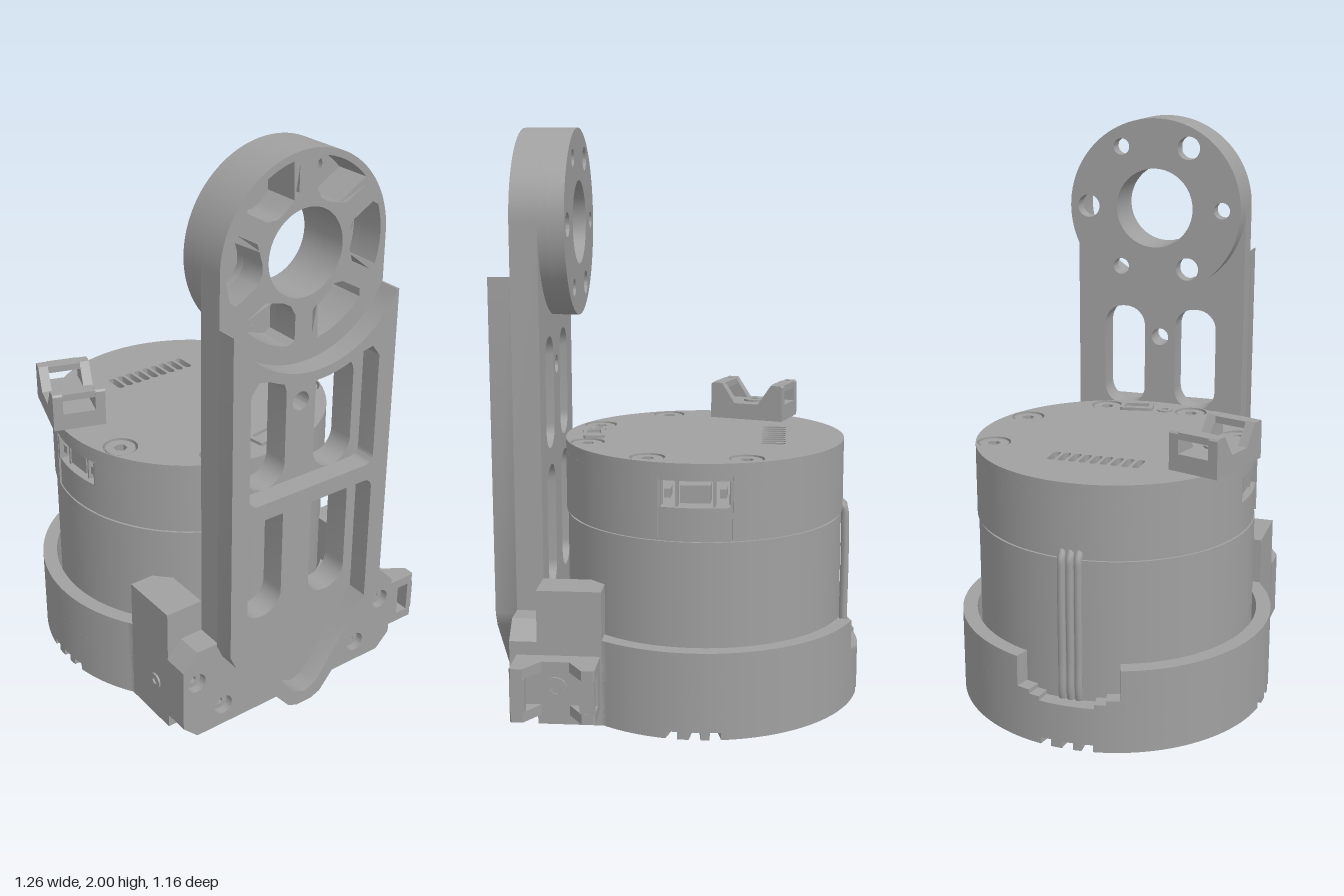
import * as THREE from 'three';
import { toCreasedNormals } from 'three/addons/utils/BufferGeometryUtils.js';

const CX = -0.075, CZ = 0.015;      // motor axis
const SC = -0.018;                  // arm centre line (arm shapes use s = -z)
const RING_Y = 1.675;
const D = Math.PI / 180;
const grey = new THREE.MeshStandardMaterial({ color: 0xa0a0a0 });

function add(parent, name, geo) {
  const m = new THREE.Mesh(geo, grey);
  m.name = name;
  parent.add(m);
  return m;
}
const extrude = (shape, depth) => toCreasedNormals(
  new THREE.ExtrudeGeometry(shape, { depth, bevelEnabled: false, curveSegments: 20 }), 0.6);
// plan shape (x, -z) raised from y0 to y1
const slab = (shape, y0, y1) => extrude(shape, y1 - y0).rotateX(-Math.PI / 2).translate(0, y0, 0);
// side shape (-z, y) pushed from x0 to x1
const plate = (shape, x0, x1) => extrude(shape, x1 - x0).rotateY(Math.PI / 2).translate(x0, 0, 0);
const cyl = (r, y0, y1, x = CX, z = CZ, n = 96) =>
  new THREE.CylinderGeometry(r, r, y1 - y0, n).translate(x, (y0 + y1) / 2, z);
const box = (x, y, z, w, h, d) => new THREE.BoxGeometry(w, h, d).translate(x, y, z);
const poly = (pts) => new THREE.Shape(pts.map(p => new THREE.Vector2(p[0], p[1])));
const circle = (x, y, r) => new THREE.Shape().absarc(x, y, r, 0, Math.PI * 2, false);
function disc(x, y, r, n = 96) {
  return poly(Array.from({ length: n }, (_, i) => [x + r * Math.cos(i / n * 2 * Math.PI), y + r * Math.sin(i / n * 2 * Math.PI)]));
}
function arc(cx, cy, r, a0, a1, n = 64) {
  return Array.from({ length: n + 1 }, (_, i) => {
    const a = (a0 + (a1 - a0) * i / n) * D;
    return [cx + r * Math.cos(a), cy + r * Math.sin(a)];
  });
}
function rounded(x0, y0, x1, y1, r) {
  return poly([...arc(x1 - r, y0 + r, r, -90, 0, 8), ...arc(x1 - r, y1 - r, r, 0, 90, 8),
    ...arc(x0 + r, y1 - r, r, 90, 180, 8), ...arc(x0 + r, y0 + r, r, 180, 270, 8)]);
}
// socket-head screw, standing on y = 0
function screwGeo(r, h) {
  const s = circle(0, 0, r);
  s.holes.push(poly(arc(0, 0, r * 0.45, 0, 300, 5)));
  return slab(s, 0, h);
}

// base outline: round cup running into a square bracket foot
const FOOT = 0.467, TA = 56.5;
function baseOutline(notches) {
  const pts = [[0.46, -CZ - FOOT], [0.46, -CZ + FOOT]];
  for (let a = TA; a <= 360 - TA; a += 1) {
    const hit = notches.some(n => Math.abs(a - n) < 1.2);
    const r = hit ? 0.46 : 0.56;
    pts.push([CX + r * Math.cos(a * D), -CZ + r * Math.sin(a * D)]);
  }
  return poly(pts);
}

function buildBase(g) {
  const notches = [90, 180, 270].flatMap(a => [a - 7.5, a + 0.5, a + 7.5]);
  const floor = baseOutline(notches);
  floor.holes.push(disc(CX, -CZ, 0.285, 64));
  for (let i = 0; i < 8; i++) {
    const a = (22.5 + i * 45) * D;
    floor.holes.push(circle(CX + 0.4 * Math.cos(a), -CZ + 0.4 * Math.sin(a), i % 2 ? 0.022 : 0.028));
  }
  add(g, 'baseFloor', slab(floor, 0, 0.025));
  add(g, 'baseFloorUpper', slab(baseOutline([]), 0.025, 0.06));
  const wall = baseOutline([]);
  wall.holes.push(disc(CX, -CZ, 0.508));
  add(g, 'cupWall', slab(wall, 0.06, 0.16));
  // open part of the cup wall with stepped, sloping ends
  [[0.16, 0.175, 10], [0.175, 0.19, 14], [0.19, 0.3, 19]].forEach(([y0, y1, gap]) => {
    const c = poly([...arc(CX, -CZ, 0.56, TA, 180 - gap), ...arc(CX, -CZ, 0.508, 180 - gap, -180 + gap, 110),
      ...arc(CX, -CZ, 0.56, 180 + gap, 360 - TA), [0.46, -CZ - FOOT], [0.46, -CZ + FOOT]]);
    add(g, 'cupRim', slab(c, y0, y1));
  });
  // output rotor seen underneath
  const rotor = disc(CX, -CZ, 0.26, 64);
  rotor.holes.push(disc(CX, -CZ, 0.14, 48));
  for (let i = 0; i < 6; i++) rotor.holes.push(circle(CX + 0.2 * Math.cos(i * 60 * D), -CZ + 0.2 * Math.sin(i * 60 * D), 0.028));
  add(g, 'rotorPlate', slab(rotor, 0.004, 0.025));
  const hub = disc(CX, -CZ, 0.12, 48);
  hub.holes.push(circle(CX, -CZ, 0.05));
  add(g, 'rotorHub', slab(hub, -0.0, 0.025));

  // side blocks and bolted bracket plate
  for (const s of [-1, 1]) {
    add(g, 'sideBlock', box(0.35, 0.235, CZ + s * 0.3975, 0.22, 0.47, 0.139));
    const fillet = poly([[0, 0], [0.06, 0], [0, 0.06]]);
    add(g, 'blockFillet', plate(fillet, 0.40, 0.46).translate(0, 0.3, CZ));
  }
  const side = [[0.41, 0], [FOOT, 0.055], [FOOT, 0.29], [0.41, 0.352]];
  const bracket = poly([...side.map(([s, y]) => [SC + s, y]), ...side.slice().reverse().map(([s, y]) => [SC - s, y])]);
  const bolts = [[0.412, 0.225], [0.3, 0.08]].flatMap(([s, y]) => [[SC + s, y], [SC - s, y]]);
  bolts.forEach(([s, y]) => bracket.holes.push(circle(s, y, 0.036)));
  add(g, 'bracketPlate', plate(bracket, 0.46, 0.555));
  bolts.forEach(([s, y]) => add(g, 'bracketScrew', screwGeo(0.031, 0.07).rotateZ(-Math.PI / 2).translate(0.46, y, -s)));
  add(g, 'sideScrew', screwGeo(0.028, 0.012).rotateX(Math.PI / 2).translate(0.385, 0.152, CZ + FOOT - 0.005));
}

function buildMotor(g) {
  add(g, 'motorBody', cyl(0.492, 0.06, 0.655));
  add(g, 'motorSeam', cyl(0.484, 0.655, 0.665));
  add(g, 'motorShoulder', cyl(0.49, 0.66, 0.77));
  // cap skirt with a connector opening at front and back
  for (const a of [-75.5, 104.5]) {
    add(g, 'capSkirt', slab(poly([...arc(CX, -CZ, 0.497, a, a + 151), ...arc(CX, -CZ, 0.44, a + 151, a)]), 0.665, 0.875));
  }
  add(g, 'capUnderside', cyl(0.49, 0.86, 0.89));
  const top = disc(CX, -CZ, 0.497);
  const screws = [[-0.24, -0.385], [0.09, -0.385], [0.09, 0.415], [0.325, -0.15], [0.325, 0.18]];
  screws.forEach(([x, z]) => top.holes.push(circle(x, -z, 0.06)));
  for (let i = 0; i < 9; i++) {
    const z = -0.13 + i * 0.0375;
    top.holes.push(rounded(-0.365, -z - 0.013, -0.28, -z + 0.013, 0.0125));
  }
  add(g, 'capTop', slab(top, 0.875, 0.92));
  screws.forEach(([x, z]) => add(g, 'capScrew', screwGeo(0.052, 0.026).translate(x, 0.89, z)));
  add(g, 'indicator', screwGeo(0.03, 0.006).translate(0.32, 0.919, 0.08));
  const socket = rounded(-0.038, -0.062, 0.038, 0.062, 0.008);
  socket.holes.push(rounded(-0.025, -0.045, 0.025, 0.045, 0.005));
  const s = add(g, 'topSocket', slab(socket, 0, 0.012));
  s.position.set(0.32, 0.919, -0.03);
  s.rotation.y = 0.17;

  // connectors in the openings
  for (const d of [-1, 1]) {
    const z = CZ + d * 0.44;
    for (const k of [-1, 1]) {
      add(g, 'connectorEnd', box(CX + k * 0.121, 0.815, z, 0.012, 0.09, 0.08));
      add(g, 'connectorDivider', box(CX + k * 0.062, 0.815, z, 0.008, 0.09, 0.06));
      add(g, 'connectorPin', box(CX + k * 0.092, 0.815, z, 0.022, 0.03, 0.06));
    }
    add(g, 'connectorPlug', box(CX, 0.812, z, 0.1, 0.06, 0.06));
  }
  // side cables
  for (const z of [-0.014, 0.015, 0.044]) {
    const path = new THREE.CatmullRomCurve3([[-0.54, 0.10], [-0.578, 0.16], [-0.582, 0.3], [-0.582, 0.6], [-0.576, 0.67], [-0.545, 0.69]]
      .map(([x, y]) => new THREE.Vector3(x, y, z)));
    add(g, 'cable', new THREE.TubeGeometry(path, 30, 0.014, 10));
  }
}

function buildArm(g) {
  const slots = [-1, 1].flatMap(k => [[0.385, 0.83], [0.89, 1.285]].map(([a, b]) =>
    rounded(SC + k * 0.14 - 0.08, a, SC + k * 0.14 + 0.08, b, 0.075)));
  // rounded wedge pockets between the ring spokes
  const pockets = Array.from({ length: 6 }, (_, i) => {
    const a = i * 60, p = (r, d) => [SC + r * Math.cos((a + d) * D), RING_Y + r * Math.sin((a + d) * D)];
    return poly([p(0.172, -12), ...arc(SC, RING_Y, 0.302, a - 19, a + 19, 10), p(0.285, 23), p(0.2, 20),
      p(0.172, 12), p(0.168, 0)].concat([p(0.2, -20), p(0.285, -23)]));
  });
  const floor = disc(SC, RING_Y, 0.325);
  floor.holes.push(disc(SC, RING_Y, 0.145, 64));
  for (let i = 0; i < 6; i++) {
    floor.holes.push(circle(SC + 0.255 * Math.cos(i * 60 * D), RING_Y + 0.255 * Math.sin(i * 60 * D), i % 2 ? 0.03 : 0.042));
  }
  add(g, 'ringFace', plate(floor, 0.37, 0.43));
  const ring = disc(SC, RING_Y, 0.325);
  ring.holes.push(disc(SC, RING_Y, 0.145, 64), ...pockets);
  add(g, 'ringRim', plate(ring, 0.43, 0.46));

  const inner = poly([[SC - 0.325, 0.33], [SC + 0.325, 0.33], ...arc(SC, RING_Y, 0.325, 0, 180)]);
  inner.holes.push(disc(SC, RING_Y, 0.145, 64), ...pockets, ...slots, circle(SC, 1.17, 0.033));
  add(g, 'armPlate', plate(inner, 0.46, 0.555));

  // outer frame with a pointed foot, a cross bar and a curved top
  const outer = poly([[SC - 0.328, 0.34], [SC - 0.305, 0.29], [SC - 0.07, 0.015], [SC - 0.03, 0], [SC + 0.03, 0], [SC + 0.07, 0.015],
    [SC + 0.305, 0.29], [SC + 0.328, 0.34], [SC + 0.328, 1.505], ...arc(SC, RING_Y, 0.365, -28, -152, 40), [SC - 0.328, 1.505]]);
  outer.holes.push(
    poly([[SC - 0.26, 0.35], [SC - 0.05, 0.065], [SC, 0.045], [SC + 0.05, 0.065], [SC + 0.26, 0.35],
      ...arc(SC + 0.225, 0.795, 0.035, 0, 90, 6), ...arc(SC - 0.225, 0.795, 0.035, 90, 180, 6)]),
    poly([...arc(SC - 0.225, 0.925, 0.035, 180, 270, 6), ...arc(SC + 0.225, 0.925, 0.035, 270, 360, 6),
      [SC + 0.26, 1.29], [SC + 0.23, 1.33], ...arc(SC, RING_Y, 0.4, -62, -118, 16), [SC - 0.23, 1.33], [SC - 0.26, 1.29]]));
  add(g, 'armFrame', plate(outer, 0.555, 0.63));
}

// cable clip: a foot with two slotted prongs
function buildClip() {
  const g = new THREE.Group();
  g.name = 'cableClip';
  const full = poly([[-0.142, 0], [0.142, 0], [0.142, 0.128], [0.136, 0.135], [0.098, 0.135], [0.047, 0.06],
    [-0.047, 0.06], [-0.098, 0.135], [-0.136, 0.135], [-0.142, 0.128]]);
  for (const z of [-0.0925, 0.0575]) add(g, 'clipSide', extrude(full, 0.035).translate(0, 0, z));
  add(g, 'clipFoot', box(0, 0.03, 0, 0.284, 0.06, 0.116));
  for (const k of [-1, 1]) add(g, 'clipBar', box(k * 0.116, 0.122, 0, 0.05, 0.024, 0.116));
  add(g, 'clipScrew', screwGeo(0.04, 0.008).translate(0, 0.059, 0));
  return g;
}

export function createModel() {
  const model = new THREE.Group();
  model.name = 'motorArmJoint';
  for (const [name, build] of [['base', buildBase], ['motor', buildMotor], ['arm', buildArm]]) {
    const g = new THREE.Group();
    g.name = name;
    build(g);
    model.add(g);
  }
  const topClip = buildClip();
  topClip.position.set(-0.24, 0.92, 0.412);
  topClip.rotation.y = -0.31;
  const backClip = buildClip();
  backClip.position.set(0.3875, 0.152, CZ - FOOT);
  backClip.rotation.x = -Math.PI / 2;
  model.add(topClip, backClip);
  return model;
}
